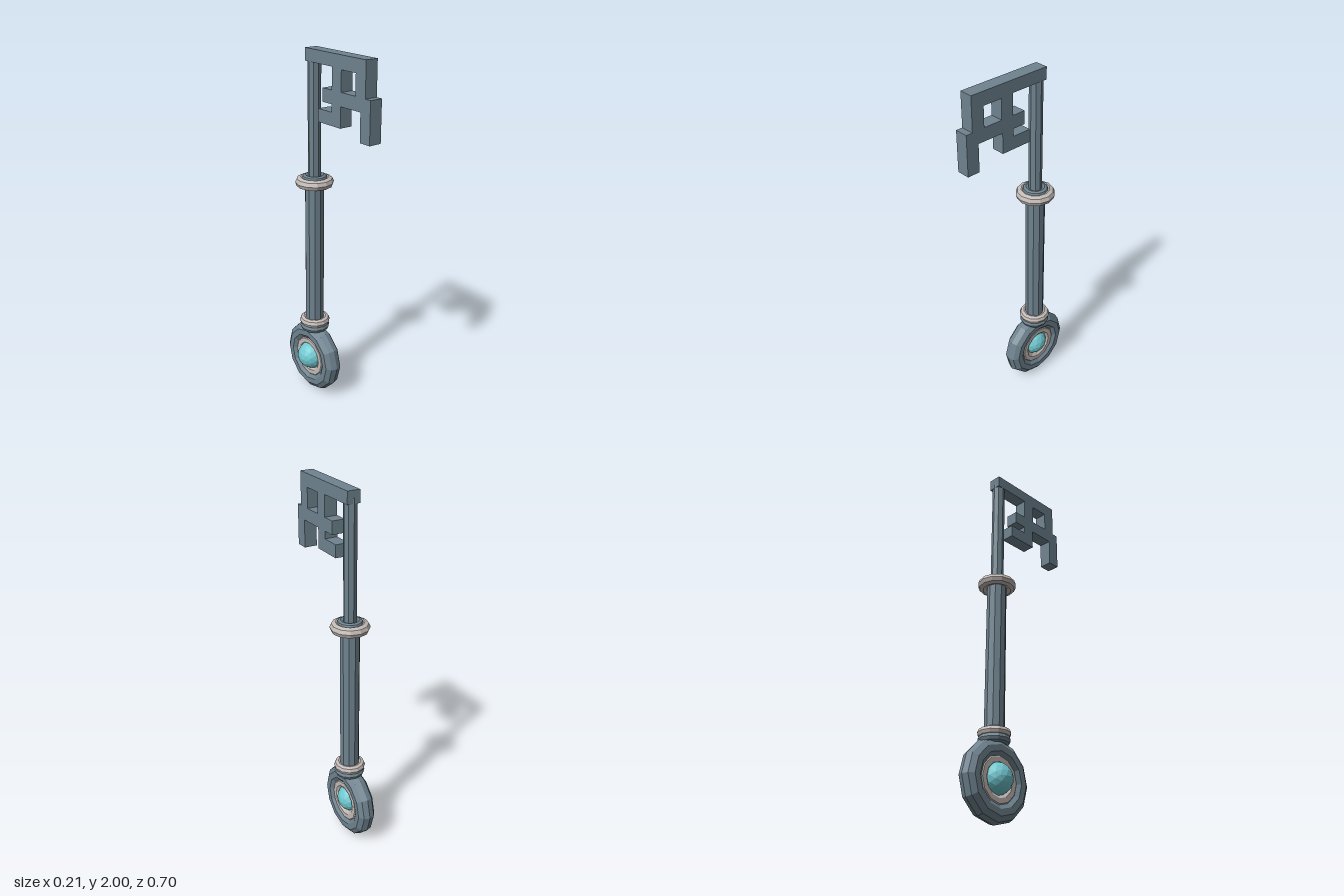
import * as THREE from 'three';

const mat = (color) => new THREE.MeshStandardMaterial({ color, flatShading: true });

export function createModel() {
  const steel = mat(0x6f838f), pale = mat(0xc3bbb7), aqua = mat(0x70c8d0);
  const key = new THREE.Group();
  key.name = 'key';

  const add = (parent, name, geometry, material, x = 0, y = 0, z = 0) => {
    const mesh = new THREE.Mesh(geometry, material);
    mesh.name = name;
    mesh.position.set(x, y, z);
    parent.add(mesh);
    return mesh;
  };

  // Handle ring with its inner trim and gem, facing sideways
  const handle = new THREE.Group();
  handle.name = 'handle';
  handle.position.set(-0.004, 0.212, -0.135);
  key.add(handle);
  const sideRing = (R, r, sides, steps) => new THREE.TorusGeometry(R, r, sides, steps).rotateY(Math.PI / 2);
  add(handle, 'handleRing', sideRing(0.158, 0.054, 10, 12), steel);
  add(handle, 'gemSetting', sideRing(0.102, 0.042, 10, 12), pale);
  const gem = add(handle, 'gem', new THREE.IcosahedronGeometry(0.083, 2), aqua, -0.015, 0.008, 0);
  gem.scale.x = 1.05;

  // Shaft, leaning very slightly forward; heights are measured from the ring centre
  const shaft = new THREE.Group();
  shaft.name = 'shaftGroup';
  shaft.position.set(0, 0.212, -0.135);
  shaft.rotation.x = 0.01;
  key.add(shaft);
  const rod = (name, r, from, to, sides) =>
    add(shaft, name, new THREE.CylinderGeometry(r, r, to - from, sides), steel, 0, (from + to) / 2, 0);
  rod('shaft', 0.053, 0.2, 1.1, 10);
  rod('upperRod', 0.035, 1.08, 1.75, 8);

  // Collars: name, material, ring radius, tube radius, height
  [
    ['lowerCollar', steel, 0.061, 0.023, 0.205],
    ['lowerTrim', pale, 0.063, 0.024, 0.24],
    ['upperTrim', pale, 0.076, 0.029, 1.084],
    ['upperCollar', steel, 0.05, 0.02, 1.105],
  ].forEach(([name, material, R, r, y]) =>
    add(shaft, name, new THREE.TorusGeometry(R, r, 8, 12).rotateX(Math.PI / 2), material, 0, y, 0));

  // Bit outline in (z, y), with the square window cut out
  const points = (list) => list.map(([z, y]) => new THREE.Vector2(z, y));
  const outline = new THREE.Shape(points([
    [-0.15, 2], [-0.15, 1.935], [0.065, 1.935], [0.065, 1.822], [-0.008, 1.822],
    [-0.008, 1.752], [0.063, 1.752], [0.063, 1.712], [-0.043, 1.712], [-0.043, 1.643],
    [0.132, 1.643], [0.132, 1.752], [0.28, 1.752], [0.28, 1.603], [0.35, 1.603],
    [0.35, 1.82], [0.314, 1.82], [0.314, 2],
  ]));
  outline.holes.push(new THREE.Path(points([
    [0.137, 1.822], [0.243, 1.822], [0.243, 1.93], [0.137, 1.93],
  ])));
  const depth = 0.071;
  const bitShape = new THREE.ExtrudeGeometry(outline, { depth, bevelEnabled: false })
    .translate(0, 0, -depth / 2)
    .rotateY(-Math.PI / 2);
  add(key, 'bit', bitShape, steel).rotation.y = -0.01;

  return key;
}
